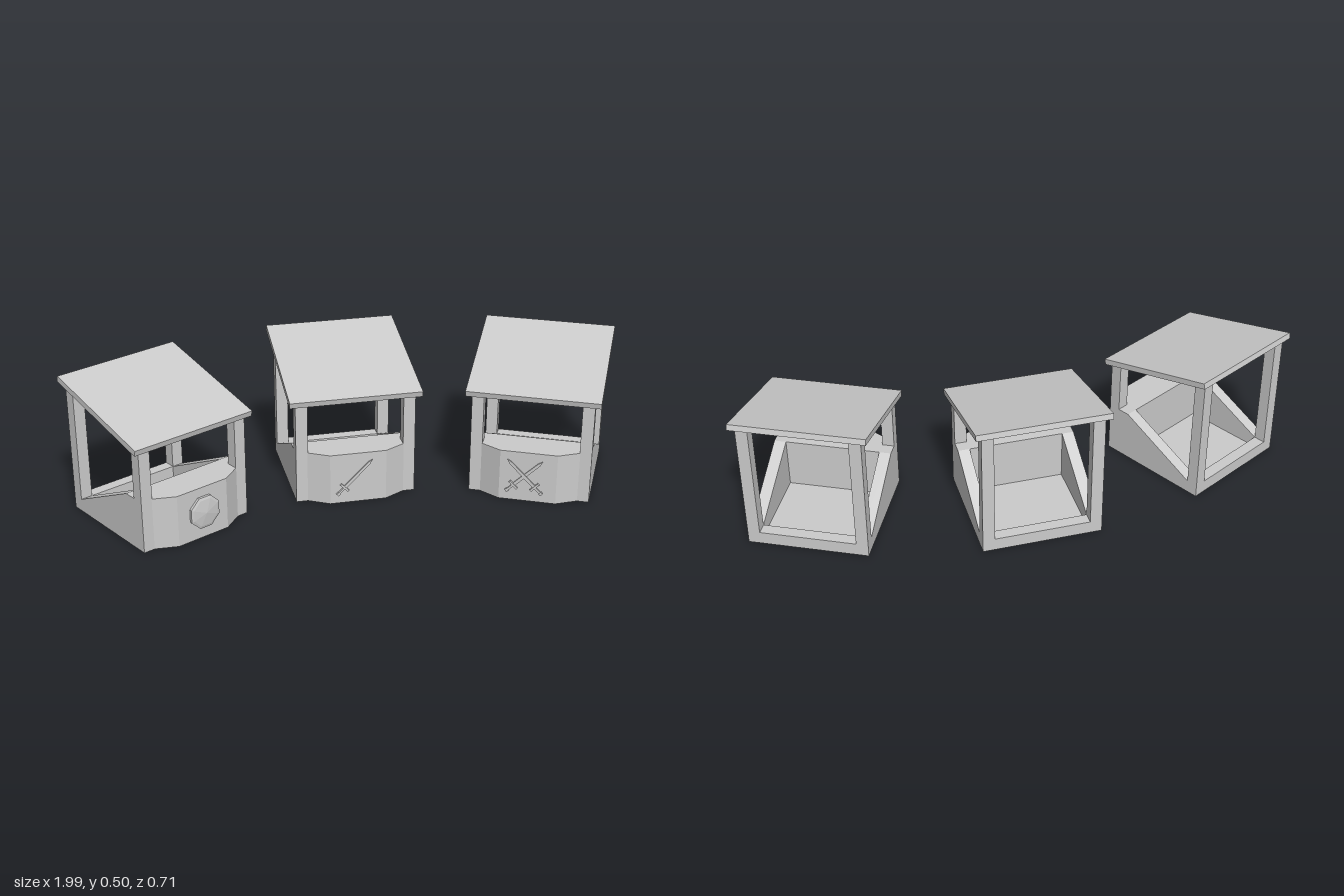
import * as THREE from 'three';

const mat = new THREE.MeshStandardMaterial({ color: 0xcccccc, flatShading: true });
const H = 0.2125;       // half width of the square stall body
const T = 0.0425;       // post and wall thickness
const COUNTER = 0.0875; // counter depth
const TOP = 0.187;      // counter height
const RIM = 0.046;      // back rim height
const BULGE = 0.04;     // counter front projection
const PITCH = 0.241;    // roof slope

function add(parent, name, geometry, x = 0, y = 0, z = 0) {
  const mesh = new THREE.Mesh(geometry, mat);
  mesh.name = name;
  mesh.position.set(x, y, z);
  parent.add(mesh);
  return mesh;
}

function extrude(points, depth) {
  const shape = new THREE.Shape(points.map(([x, y]) => new THREE.Vector2(x, y)));
  return new THREE.ExtrudeGeometry(shape, { depth, bevelEnabled: false });
}

// Square post whose top follows the roof slope
function post(parent, name, x, z, base) {
  const geo = new THREE.BoxGeometry(T, 1, T);
  const p = geo.attributes.position;
  for (let i = 0; i < p.count; i++) {
    const roofY = 0.4325 - Math.tan(PITCH) * (z + p.getZ(i));
    p.setY(i, p.getY(i) > 0 ? roofY : base);
  }
  geo.computeVertexNormals();
  add(parent, name, geo, x, 0, z);
}

function createStall() {
  const stall = new THREE.Group();

  // Counter with a faceted front, drawn as a footprint and extruded upward
  const f = H + BULGE;
  const counter = extrude([
    [-H, -H], [-0.172, -H], [-0.1, -f], [0.1, -f], [0.172, -H], [H, -H],
    [H, COUNTER - H], [-H, COUNTER - H],
  ].reverse(), TOP);
  counter.rotateX(-Math.PI / 2);
  add(stall, 'counter', counter);

  // Sloping side walls and the posts
  const profile = [
    [H - COUNTER, 0], [H - COUNTER, TOP], [T - H, RIM], [-H, RIM], [-H, 0],
  ];
  for (const side of [-1, 1]) {
    const label = side > 0 ? 'left' : 'right';
    const wall = extrude(profile, T);
    wall.rotateY(-Math.PI / 2);
    add(stall, label + 'Wall', wall, side > 0 ? H : T - H);
    const x = side * (H - T / 2);
    post(stall, label + 'FrontPost', x, H - T / 2, TOP);
    post(stall, label + 'BackPost', x, T / 2 - H, RIM);
  }

  // Back rim and thin floor
  add(stall, 'backRim', new THREE.BoxGeometry(2 * (H - T), RIM, T), 0, RIM / 2, T / 2 - H);
  add(stall, 'floor', new THREE.BoxGeometry(2 * (H - T), 0.005, 2 * H - COUNTER - T),
    0, 0.0025, (T - COUNTER) / 2);

  // Pitched roof
  const roof = add(stall, 'roof', new THREE.BoxGeometry(0.468, 0.021, 0.467), 0, 0.4325, 0.001);
  roof.rotation.x = PITCH;
  return stall;
}

// Upright sword centred on its length, lying on z = 0
function createSword() {
  const sword = new THREE.Group();
  sword.name = 'sword';
  add(sword, 'blade', extrude([
    [-0.006, -0.05], [0.006, -0.05], [0.005, 0.07], [0, 0.088], [-0.005, 0.07],
  ], 0.005));
  add(sword, 'guard', new THREE.BoxGeometry(0.038, 0.008, 0.008), 0, -0.053, 0.003);
  add(sword, 'grip', new THREE.BoxGeometry(0.008, 0.03, 0.006), 0, -0.069, 0.003);
  add(sword, 'pommel', new THREE.BoxGeometry(0.012, 0.009, 0.008), 0, -0.085, 0.003);
  return sword;
}

// Eight-sided shield with a shallow domed face
function createShield() {
  const geo = new THREE.LatheGeometry([
    [0, 0], [0.061, 0], [0.061, 0.009], [0.051, 0.012], [0, 0.018],
  ].map(([r, y]) => new THREE.Vector2(r, y)), 8, Math.PI / 8);
  geo.rotateX(Math.PI / 2);
  const shield = new THREE.Mesh(geo, mat);
  shield.name = 'shield';
  return shield;
}

export function createModel() {
  const model = new THREE.Group();
  model.name = 'marketStalls';
  const layout = [
    { name: 'shieldStall', x: -0.686, z: 0.037, turn: 0.494 },
    { name: 'swordStall', x: -0.004, z: -0.1275, turn: 0, swords: [-Math.PI / 4] },
    { name: 'crossedSwordsStall', x: 0.684, z: 0.028, turn: -0.457, swords: [-Math.PI / 4, Math.PI / 4] },
  ];
  for (const { name, x, z, turn, swords } of layout) {
    const stall = createStall();
    stall.name = name;
    stall.position.set(x, 0, z);
    stall.rotation.y = turn;

    // Emblem on the counter front
    const emblem = new THREE.Group();
    emblem.name = 'emblem';
    emblem.position.set(swords ? -0.012 : 0.004, 0.097, H + BULGE);
    if (swords) {
      swords.forEach((angle, i) => {
        const sword = createSword();
        sword.rotation.z = angle;
        sword.position.z = i * 0.004;
        emblem.add(sword);
      });
    } else {
      emblem.add(createShield());
    }
    stall.add(emblem);
    model.add(stall);
  }
  return model;
}
